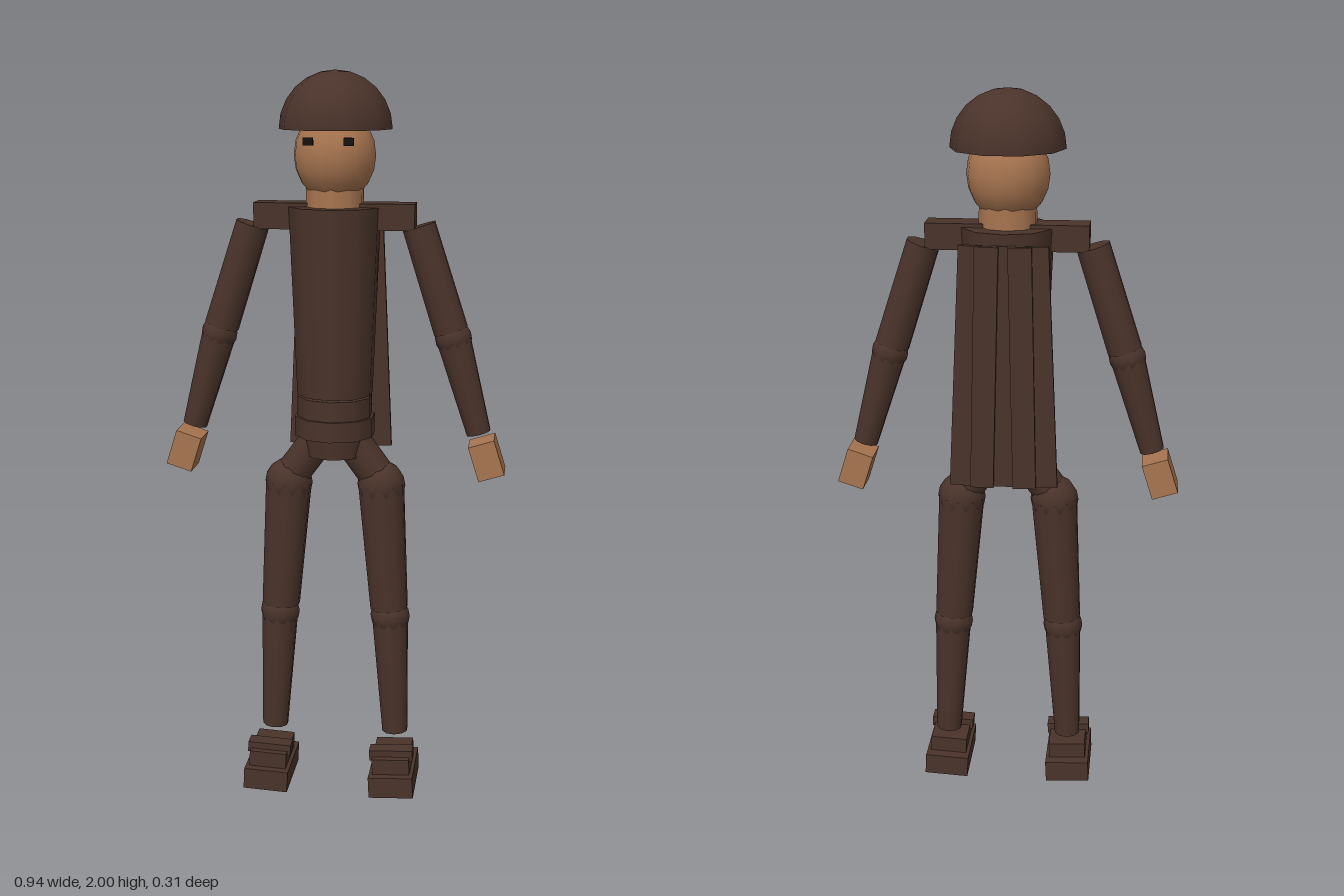
import * as THREE from 'three';

export function createModel() {
  const model = new THREE.Group();
  model.name = 'figure';
  const cloth = new THREE.MeshStandardMaterial({ color: 0x4a332a });
  const hatCloth = new THREE.MeshStandardMaterial({ color: 0x4a332a, side: THREE.DoubleSide });
  const skin = new THREE.MeshStandardMaterial({ color: 0xa87550 });
  const black = new THREE.MeshStandardMaterial({ color: 0x151210 });

  function add(name, geometry, material, x, y, z, tilt = 0, parent = model) {
    const mesh = new THREE.Mesh(geometry, material);
    mesh.name = name;
    mesh.position.set(x, y, z);
    mesh.rotation.z = tilt;
    parent.add(mesh);
    return mesh;
  }
  const box = (w, h, d) => new THREE.BoxGeometry(w, h, d);
  const drum = (top, bottom, h) => new THREE.CylinderGeometry(top, bottom, h, 10);
  const ball = (r) => new THREE.SphereGeometry(r, 10, 8);

  // Tapered segment between an upper and a lower point [x, y]
  function limb(name, upper, lower, rUpper, rLower, z, parent) {
    const dx = lower[0] - upper[0], dy = lower[1] - upper[1];
    add(name, drum(rUpper, rLower, Math.hypot(dx, dy)), cloth,
      (upper[0] + lower[0]) / 2, (upper[1] + lower[1]) / 2, z, Math.atan2(dx, -dy), parent);
  }

  // Head
  add('head', new THREE.SphereGeometry(1, 14, 10), skin, 0, 1.78, 0.003).scale.set(0.11, 0.125, 0.108);
  add('neck', drum(0.078, 0.08, 0.1), skin, 0, 1.65, 0);
  add('hat', new THREE.SphereGeometry(0.152, 10, 6, 0, Math.PI * 2, 0, Math.PI / 2), hatCloth, 0, 1.847, -0.008);

  // Trunk
  add('torso', drum(0.126, 0.105, 0.51), cloth, 0, 1.39, -0.003);
  add('shoulderYoke', box(0.432, 0.07, 0.075), cloth, 0, 1.62, -0.006);
  add('waist', drum(0.104, 0.104, 0.055), cloth, 0, 1.103, 0);
  add('belt', drum(0.112, 0.112, 0.055), cloth, 0, 1.048, 0);
  add('pelvis', drum(0.1, 0.085, 0.16), cloth, 0, 1.045, 0);

  // Cape of overlapping fanned strips
  const cape = new THREE.Group();
  cape.name = 'cape';
  model.add(cape);
  for (let i = -2; i <= 2; i++) {
    const z = i % 2 ? -0.137 : -0.124;
    add('capeStrip', box(0.062, 0.655, 0.016), cloth, i * 0.05, 1.288, z, i * 0.022, cape);
  }

  for (const [side, s] of [['left', 1], ['right', -1]]) {
    add(side + 'Eye', box(0.026, 0.02, 0.012), black, s * 0.053, 1.82, 0.124);

    // Arm
    const arm = new THREE.Group();
    arm.name = side + 'Arm';
    model.add(arm);
    const az = -0.006;
    limb('upperArm', [s * 0.225, 1.595], [s * 0.315, 1.315], 0.046, 0.048, az, arm);
    add('elbow', ball(0.05), cloth, s * 0.322, 1.295, az, 0, arm);
    limb('forearm', [s * 0.325, 1.285], [s * 0.396, 1.035], 0.047, 0.034, az, arm);
    add('hand', box(0.073, 0.1, 0.095), skin, s * 0.42, 0.966, az, s * 0.31, arm);

    // Leg
    const leg = new THREE.Group();
    leg.name = side + 'Leg';
    model.add(leg);
    limb('hipLink', [s * 0.05, 1.0], [s * 0.13, 0.89], 0.05, 0.05, 0, leg);
    add('hip', ball(0.067), cloth, s * 0.13, 0.88, 0, 0, leg);
    limb('thigh', [s * 0.13, 0.88], [s * 0.155, 0.52], 0.065, 0.054, 0, leg);
    add('knee', ball(0.056), cloth, s * 0.158, 0.495, 0, 0, leg);
    limb('shin', [s * 0.158, 0.495], [s * 0.175, 0.145], 0.052, 0.037, 0, leg);

    // Shoe: sole, upper and strap
    const shoe = new THREE.Group();
    shoe.name = side + 'Shoe';
    shoe.position.set(s * 0.18, 0, 0);
    shoe.rotation.z = s * 0.05;
    leg.add(shoe);
    add('sole', box(0.125, 0.06, 0.205), cloth, 0, 0.036, 0.053, 0, shoe);
    add('shoeUpper', box(0.105, 0.045, 0.15), cloth, 0, 0.088, 0.057, 0, shoe);
    add('shoeStrap', box(0.122, 0.03, 0.045), cloth, 0, 0.114, 0.09, 0, shoe);
  }
  return model;
}
